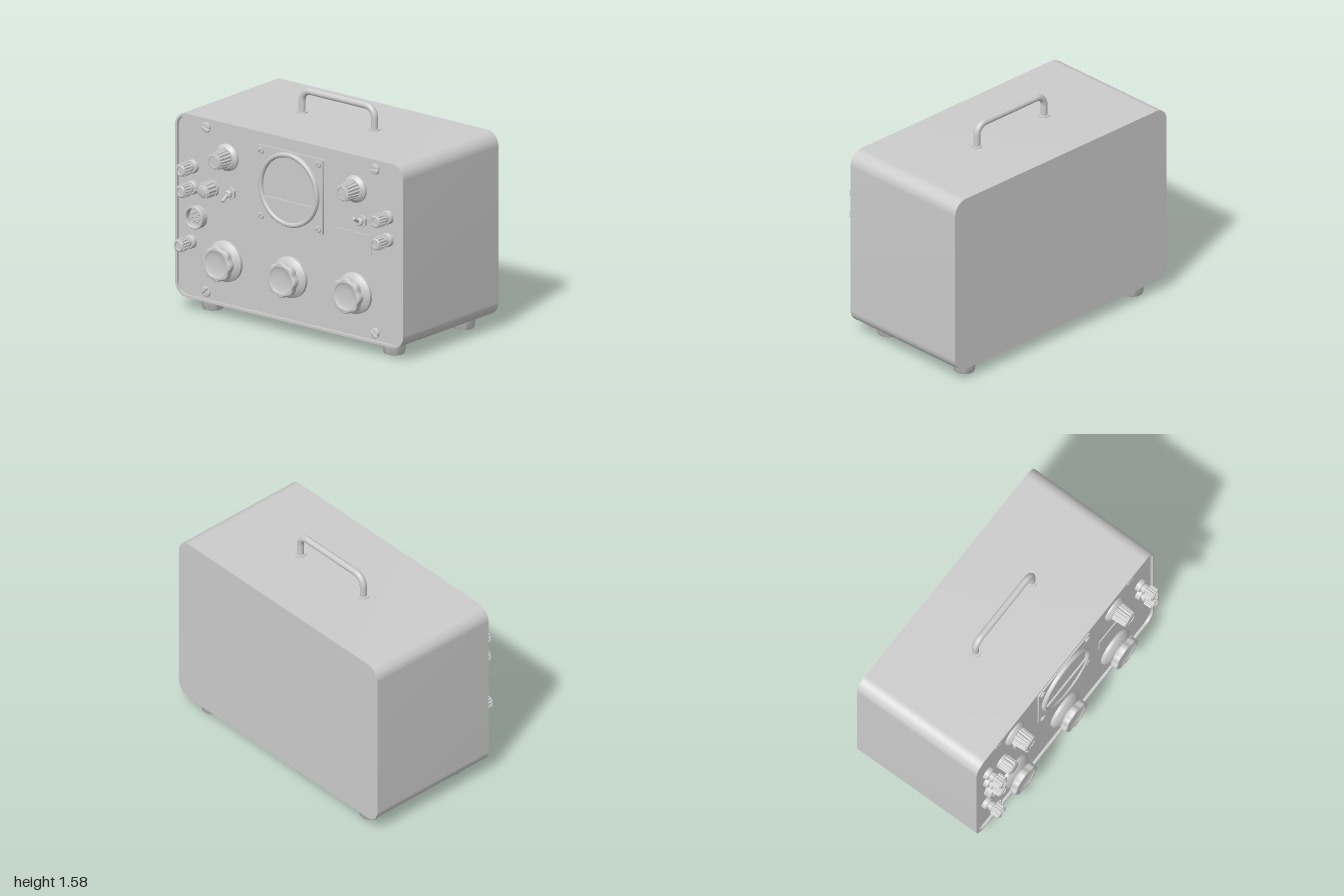
import * as THREE from 'three';
import { toCreasedNormals } from 'three/addons/utils/BufferGeometryUtils.js';

const grey = new THREE.MeshStandardMaterial({ color: 0xcccccc });
const PANEL = 0.425; // z of the recessed front panel

function add(parent, name, geo, x = 0, y = 0, z = 0) {
  const m = new THREE.Mesh(geo, grey);
  m.name = name;
  m.position.set(x, y, z);
  parent.add(m);
  return m;
}

function group(parent, name, x = 0, y = 0, z = 0) {
  const g = new THREE.Group();
  g.name = name;
  g.position.set(x, y, z);
  parent.add(g);
  return g;
}

// Turned part: pairs of [radius, height], axis along y or, by default, along +z
function turned(profile, alongZ = true, segments = 40) {
  const pts = profile.map(([r, h]) => new THREE.Vector2(r, h));
  const geo = toCreasedNormals(new THREE.LatheGeometry(pts, segments), 0.6);
  return alongZ ? geo.rotateX(Math.PI / 2) : geo;
}

function extrude(shape, depth, options = {}) {
  const geo = new THREE.ExtrudeGeometry(shape, { depth, bevelEnabled: false, curveSegments: 12, ...options });
  return toCreasedNormals(geo, 0.5);
}

function roundedRect(w, h, r) {
  const s = new THREE.Shape();
  const x = w / 2 - r, y = h / 2 - r;
  s.absarc(x, y, r, 0, Math.PI / 2);
  s.absarc(-x, y, r, Math.PI / 2, Math.PI);
  s.absarc(-x, -y, r, Math.PI, Math.PI * 1.5);
  s.absarc(x, -y, r, Math.PI * 1.5, Math.PI * 2);
  s.closePath();
  return s;
}

// Closed outline from a radius that depends on the angle
function polarShape(n, radius) {
  const pts = [];
  for (let i = 0; i < n; i++) {
    const a = (i / n) * Math.PI * 2, r = radius(i, a);
    pts.push(new THREE.Vector2(r * Math.cos(a), r * Math.sin(a)));
  }
  return new THREE.Shape(pts);
}

// Ribbed grip, narrowing towards its front
function ribbed(teeth, r, groove, depth, taper = 1) {
  const geo = extrude(polarShape(teeth * 4, i => (i % 4 < 2 ? r : r - groove)), depth);
  const p = geo.attributes.position;
  for (let i = 0; i < p.count; i++) {
    const k = 1 + (taper - 1) * p.getZ(i) / depth;
    p.setXY(i, p.getX(i) * k, p.getY(i) * k);
  }
  return geo;
}

function slottedScrew(parent, name, x, y, z, r, angle) {
  const s = group(parent, name, x, y, z);
  s.rotation.z = angle;
  const cut = r * 0.12, h = r * 0.45;
  // two half domes separated by the slot
  const half = new THREE.Shape();
  const a = Math.asin(cut / r);
  half.absarc(0, 0, r * 0.85, a, Math.PI - a);
  half.closePath();
  const bevel = { bevelEnabled: true, bevelSize: r * 0.15, bevelThickness: h * 0.5, bevelSegments: 3, bevelOffset: -r * 0.03 };
  for (const k of [0, 1]) {
    add(s, 'screwHeadHalf', extrude(half, h * 0.5, bevel), 0, k ? -cut : cut, 0).rotation.z = k * Math.PI;
  }
  add(s, 'screwBase', turned([[r, 0], [r, h * 0.3], [0, h * 0.3]], true, 24));
}

function tuningKnob(parent, x, y) {
  const k = group(parent, 'tuningKnob', x, y);
  add(k, 'skirt', turned([[0.145, 0], [0.145, 0.022], [0.138, 0.028], [0.1, 0.052], [0.083, 0.055], [0.083, 0.08]]));
  const outline = polarShape(96, (i, a) => 0.113 + 0.006 * Math.cos(8 * a));
  const hole = new THREE.Path();
  hole.absarc(0, 0, 0.095, 0, Math.PI * 2, true);
  outline.holes.push(hole);
  add(k, 'scallopedGrip', extrude(outline, 0.032, { bevelEnabled: true, bevelSize: 0.009, bevelThickness: 0.01, bevelOffset: -0.002, bevelSegments: 4, curveSegments: 48 }), 0, 0, 0.074);
  add(k, 'dishedFace', turned([[0.095, 0.066], [0.095, 0.114], [0.08, 0.108], [0.05, 0.104], [0, 0.103]]));
}

function selectorKnob(parent, x, y) {
  const k = group(parent, 'selectorKnob', x, y);
  add(k, 'skirt', turned([[0.096, 0], [0.096, 0.014], [0.088, 0.022], [0.072, 0.035], [0, 0.035]]));
  add(k, 'grip', ribbed(16, 0.068, 0.007, 0.105, 0.88), 0, 0, 0.034);
  add(k, 'endCap', turned([[0.052, 0.13], [0.052, 0.143], [0.047, 0.146], [0.041, 0.146], [0.039, 0.141], [0, 0.141]]));
}

function bindingPost(parent, x, y) {
  const b = group(parent, 'bindingPost', x, y);
  add(b, 'collar', turned([[0.048, 0], [0.048, 0.025], [0.042, 0.034], [0.03, 0.034], [0.03, 0.05], [0.038, 0.052], [0.038, 0.066], [0.03, 0.068], [0.03, 0.08]], true, 28));
  add(b, 'grip', ribbed(14, 0.049, 0.006, 0.058, 0.96), 0, 0, 0.076);
  add(b, 'tip', turned([[0.04, 0.13], [0.04, 0.14], [0.035, 0.144], [0.026, 0.144], [0.024, 0.137], [0, 0.137]], true, 28));
}

function toggleSwitch(parent, x, y, up) {
  const t = group(parent, 'toggleSwitch', x, y);
  add(t, 'hexNut', extrude(polarShape(6, () => 0.047), 0.022)).rotation.z = Math.PI / 6;
  add(t, 'bushing', turned([[0.028, 0], [0.028, 0.042], [0.022, 0.047], [0, 0.047]], true, 24));
  const lever = add(t, 'lever', turned([[0.009, 0], [0.013, 0.06], [0.013, 0.066], [0.008, 0.072], [0, 0.074]], true, 16), 0, 0, 0.036);
  lever.rotation.x = -up * 0.6;
}

export function createModel() {
  const model = new THREE.Group();
  model.name = 'portableInstrument';

  // Case with a thin raised rim around the front panel
  const W = 2, H = 1.305, cy = 0.09 + H / 2;
  add(model, 'caseBody', extrude(roundedRect(W, H, 0.1), PANEL + 0.57), 0, cy, -0.57);
  const rim = roundedRect(W, H, 0.1);
  rim.holes.push(roundedRect(W - 0.034, H - 0.034, 0.083));
  add(model, 'caseRim', extrude(rim, 0.02), 0, cy, PANEL);

  // Tapered feet
  for (const x of [-0.795, 0.795]) for (const z of [0.29, -0.45]) {
    add(model, 'foot', turned([[0, 0], [0.068, 0], [0.071, 0.004], [0.087, 0.1]], false), x, 0, z);
  }

  // Carrying handle
  const handle = group(model, 'carryingHandle', 0, 0, -0.08);
  const path = new THREE.CurvePath();
  const v = (x, y) => new THREE.Vector3(x, y, 0);
  const hx = 0.317, hy = 1.555, b = 0.075;
  path.add(new THREE.LineCurve3(v(-hx, 1.38), v(-hx, hy - b)));
  path.add(new THREE.CubicBezierCurve3(v(-hx, hy - b), v(-hx, hy - b * 0.45), v(-hx + b * 0.45, hy), v(-hx + b, hy)));
  path.add(new THREE.LineCurve3(v(-hx + b, hy), v(hx - b, hy)));
  path.add(new THREE.CubicBezierCurve3(v(hx - b, hy), v(hx - b * 0.45, hy), v(hx, hy - b * 0.45), v(hx, hy - b)));
  path.add(new THREE.LineCurve3(v(hx, hy - b), v(hx, 1.38)));
  add(handle, 'handleBar', new THREE.TubeGeometry(path, 120, 0.024, 18));
  for (const x of [-hx, hx]) {
    add(handle, 'handleFlange', turned([[0.04, 0], [0.04, 0.009], [0, 0.009]], false), x, 1.393);
  }

  const panel = group(model, 'frontPanel', 0, 0, PANEL);

  // Panel meter: plate, round bezel, recessed face and lower cover
  const meter = group(panel, 'panelMeter', 0, 1.032);
  add(meter, 'meterPlate', extrude(roundedRect(0.578, 0.535, 0.012), 0.014));
  add(meter, 'meterBezel', turned([[0.262, 0.01], [0.262, 0.03], [0.258, 0.037], [0.25, 0.041], [0.241, 0.041], [0.233, 0.036], [0.229, 0.028], [0.229, 0.016], [0, 0.016]], true, 72));
  const cover = new THREE.Shape();
  const a = Math.asin(0.082 / 0.231);
  cover.absarc(0, 0, 0.231, Math.PI + a, Math.PI * 2 - a);
  cover.closePath();
  add(meter, 'meterCover', extrude(cover, 0.014, { curveSegments: 40 }), 0, 0, 0.015);
  for (const x of [-0.25, 0.25]) for (const y of [-0.232, 0.23]) {
    slottedScrew(meter, 'meterScrew', x, y, 0.014, 0.023, Math.PI / 4);
  }

  // Panel screws
  for (const x of [-0.74, 0.74]) for (const y of [0.16, 1.324]) {
    slottedScrew(panel, 'panelScrew', x, y, 0, 0.035, x < 0 ? (y > 1 ? -0.3 : 0.8) : (y > 1 ? 0 : -0.7));
  }

  // Knobs, posts and switches
  for (const x of [-0.567, 0, 0.567]) tuningKnob(panel, x, 0.412);
  for (const x of [-0.556, 0.567]) selectorKnob(panel, x, 1.15);
  for (const [x, y] of [[-0.855, 1.027], [-0.855, 0.877], [-0.872, 0.49], [0.853, 1.005], [0.853, 0.845]]) bindingPost(panel, x, y);
  toggleSwitch(panel, -0.524, 0.902, -1);
  toggleSwitch(panel, 0.626, 0.933, 1);

  // Fuse holder
  const fuse = group(panel, 'fuseHolder', -0.69, 0.904);
  add(fuse, 'fuseCollar', turned([[0.06, 0], [0.06, 0.018], [0, 0.018]]));
  add(fuse, 'fuseCap', ribbed(12, 0.058, 0.006, 0.085, 0.95), 0, 0, 0.014);
  add(fuse, 'fuseTip', turned([[0.046, 0.09], [0.046, 0.103], [0.04, 0.107], [0, 0.107]]));

  // Round multi-pin socket
  const socket = group(panel, 'pinSocket', -0.813, 0.678);
  add(socket, 'socketShell', turned([[0.08, 0], [0.08, 0.05], [0.077, 0.054], [0.068, 0.054], [0.065, 0.05], [0.065, 0.012], [0, 0.012]]));
  const pin = turned([[0.005, 0], [0.005, 0.028], [0, 0.031]], true, 10);
  for (let i = 0; i < 8; i++) {
    const r = i < 7 ? 0.036 : 0, t = (i / 7) * Math.PI * 2 + Math.PI / 2;
    add(socket, 'contactPin', pin, r * Math.cos(t), r * Math.sin(t), 0.012);
  }

  // Blank label plate
  add(panel, 'labelPlate', new THREE.BoxGeometry(0.315, 0.135, 0.008), 0.555, 0.777, 0.004);

  return model;
}
